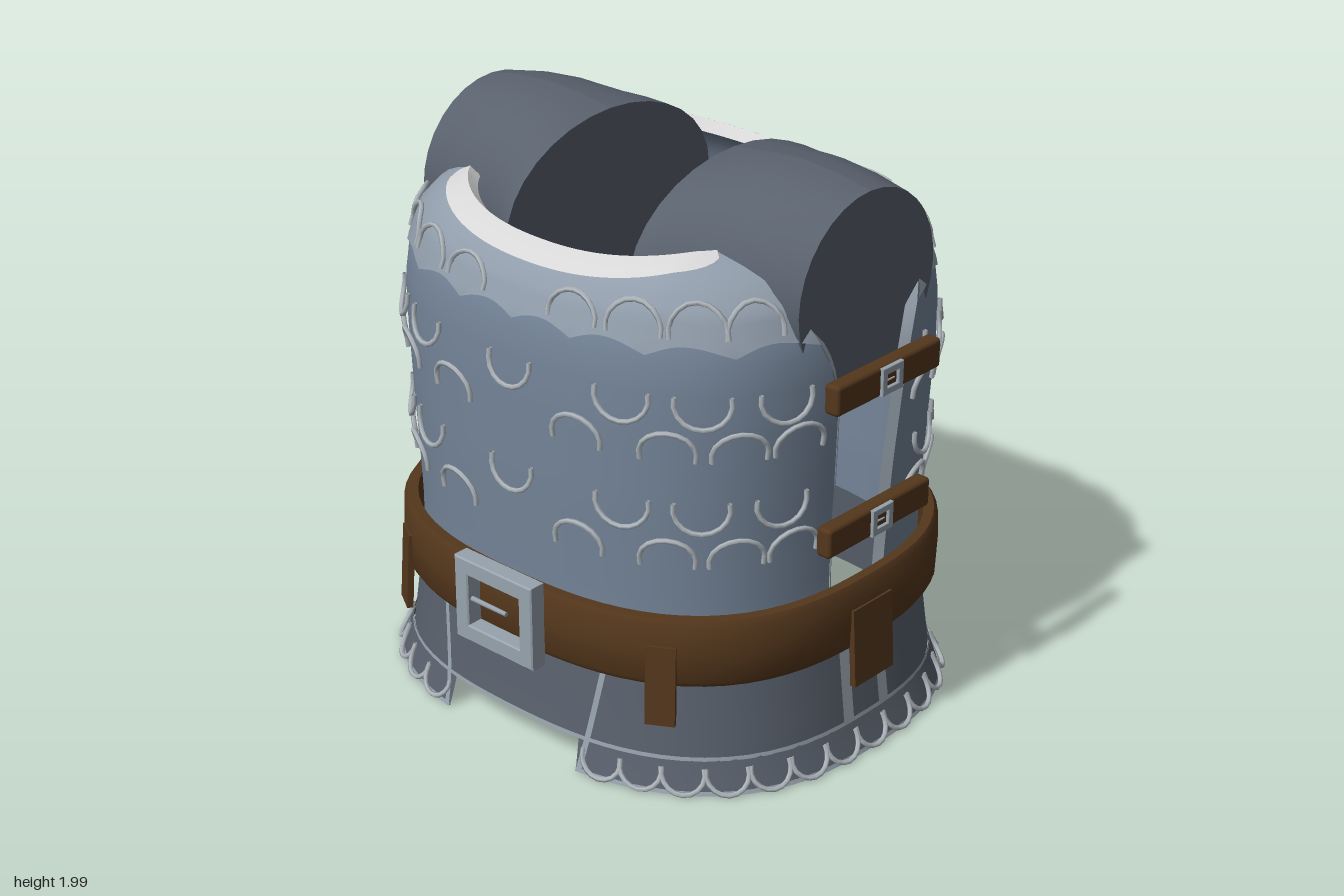
import * as THREE from 'three';
import { toCreasedNormals } from 'three/addons/utils/BufferGeometryUtils.js';
import { RoundedBoxGeometry } from 'three/addons/geometries/RoundedBoxGeometry.js';

const mat = (name, color) => {
  const m = new THREE.MeshStandardMaterial({ color, side: THREE.DoubleSide });
  m.name = name;
  return m;
};

// Oval cross-sections: height, half width, half depth, armhole half gap
const BODY = [
  [0.45, 0.83, 0.735, 0.13], [0.64, 0.83, 0.735, 0.14], [0.85, 0.838, 0.742, 0.147],
  [1.0, 0.848, 0.747, 0.15], [1.3, 0.87, 0.75, 0.165], [1.45, 0.872, 0.745, 0.2],
  [1.55, 0.862, 0.73, 0.25], [1.66, 0.825, 0.695, 0.3], [1.73, 0.755, 0.655, 0.335],
  [1.765, 0.69, 0.62, 0.355], [1.79, 0.62, 0.58, 0.37],
];
const SKIRT = [
  [0.01, 0.925, 0.80, 0], [0.12, 0.885, 0.772, 0], [0.25, 0.868, 0.757, 0], [0.5, 0.835, 0.735, 0],
];
const BELT = [[0.4, 0.89, 0.80, 0], [0.64, 0.89, 0.80, 0]];
const POWER = 2.6, CZ = -0.03;

function section(rows, y) {
  let i = 0;
  while (i < rows.length - 2 && y > rows[i + 1][0]) i++;
  const k = (y - rows[i][0]) / (rows[i + 1][0] - rows[i][0]);
  return rows[i].map((v, j) => v + (rows[i + 1][j] - v) * k);
}

// Point on an oval shell at a height and polar angle, pushed out by off
function shell(rows, y, th, off = 0) {
  const [, a, b] = section(rows, y);
  const c = Math.cos(th), s = Math.sin(th);
  const r = Math.pow(Math.abs(c / (a + off)) ** POWER + Math.abs(s / (b + off)) ** POWER, -1 / POWER);
  const p = new THREE.Vector3(r * c, y, r * s + CZ);
  if (rows === BODY && y > 1.55) {
    const k = (y - 1.55) / 0.24;
    p.y += off * k - 0.05 * k * Math.max(0, 1 - (p.x / 0.5) ** 2); // neckline dip
  }
  return p;
}

// Polar angle at which the armhole cuts the body
function armAngle(y) {
  const [, a, b, z] = section(BODY, y);
  return Math.atan2(z, a * Math.pow(1 - (z / b) ** POWER, 1 / POWER));
}

// Surface from a rule fn(u, v) -> Vector3
function grid(nu, nv, fn) {
  const pos = [], idx = [];
  for (let j = 0; j <= nv; j++) for (let i = 0; i <= nu; i++) pos.push(...fn(i / nu, j / nv).toArray());
  for (let j = 0; j < nv; j++) for (let i = 0; i < nu; i++) {
    const a = j * (nu + 1) + i, b = a + nu + 1;
    idx.push(a, b, a + 1, a + 1, b, b + 1);
  }
  const g = new THREE.BufferGeometry();
  g.setAttribute('position', new THREE.Float32BufferAttribute(pos, 3));
  g.setIndex(idx);
  g.computeVertexNormals();
  return g;
}

export function createModel() {
  const root = new THREE.Group();
  root.name = 'armour';
  const plate = mat('blue steel', 0x748498), dark = mat('dark cloth', 0x59616d);
  const yokeMat = mat('pale steel', 0x919dab), rimMat = mat('light rim', 0xd6d6d6);
  const trim = mat('trim grey', 0x98a3ae), scaleMat = mat('scale edge', 0xb0b8be);
  const leather = mat('brown leather', 0x54371c);
  const add = (name, geo, material, parent = root) => {
    const m = new THREE.Mesh(geo, material);
    m.name = name;
    parent.add(m);
    return m;
  };
  const lerp = THREE.MathUtils.lerp, rad = THREE.MathUtils.degToRad;

  // Front and back plates with yoke, neck rim and armhole edges
  for (const sz of [1, -1]) {
    const side = sz > 0 ? 'front' : 'back';
    const onBody = (u, y, off) => {
      const t = armAngle(y);
      return shell(BODY, y, sz * lerp(t, Math.PI - t, u), off);
    };
    add(side + 'Plate', grid(56, 28, (u, v) => onBody(u, lerp(0.45, 1.79, v), 0)), plate);
    add(side + 'PlateLining', grid(56, 28, (u, v) => onBody(u, lerp(0.45, 1.78, v), -0.02)), plate);
    add(side + 'Yoke', grid(104, 10, (u, v) =>
      onBody(u, lerp(1.535 + 0.035 * Math.abs(Math.sin(u * Math.PI * 8)), 1.79, v), 0.007)), yokeMat);
    add(side + 'NeckRim', grid(40, 5, (u, v) =>
      onBody(u, 1.792 - 0.06 * (1 - v) * Math.sin(Math.PI * u) ** 0.6, 0.014)), rimMat);
    add(side + 'NeckLip', grid(40, 1, (u, v) => onBody(u, 1.79, lerp(0.014, -0.02, v))), rimMat);
    for (const u of [0, 1])
      add(side + 'ArmholeEdge', grid(1, 24, (w, v) => {
        const p = onBody(u, lerp(0.55, 1.78, v), 0.004 - 0.022 * w);
        p.z -= sz * w * 0.028;
        return p;
      }), trim);
  }

  // Shoulder rolls: oval sections along x
  const ROLL = [[0.27, 0.495, 0.33], [0.35, 0.465, 0.342], [0.43, 0.415, 0.352],
    [0.55, 0.39, 0.36], [0.7, 0.36, 0.35], [0.83, 0.335, 0.325]];
  for (const sx of [1, -1]) {
    const ring = (i, ang, k) => new THREE.Vector3(sx * ROLL[i][0],
      1.64 + k * ROLL[i][2] * Math.cos(ang), CZ - 0.005 + k * ROLL[i][1] * Math.sin(ang));
    add('shoulderRoll', grid(32, 5, (u, v) => ring(Math.round(v * 5), u * Math.PI * 2, 1)), dark);
    for (const i of [0, 5])
      add('shoulderRollEnd', grid(32, 1, (u, v) => ring(i, u * Math.PI * 2, v)), dark);
  }

  // Skirt, with hanging panels that leave a gap at front and back
  const TAU = Math.PI * 2;
  add('skirt', grid(80, 4, (u, v) => shell(SKIRT, lerp(0.12, 0.5, v), u * TAU)), dark);
  add('skirtHem', grid(80, 1, (u, v) => shell(SKIRT, lerp(0.118, 0.132, v), u * TAU, 0.006)), trim);
  const gap = Math.atan2(0.79, 0.3);
  for (const c of [0, Math.PI]) {
    add('skirtPanel', grid(48, 3, (u, v) => shell(SKIRT, lerp(0.01, 0.13, v), c + lerp(-gap, gap, u), 0.004)), dark);
    add('panelHem', grid(48, 1, (u, v) => shell(SKIRT, lerp(0.01, 0.024, v), c + lerp(-gap, gap, u), 0.009)), trim);
    for (const s of [1, -1]) {
      add('frontSeam', grid(1, 6, (u, v) =>
        shell(SKIRT, lerp(0.01, 0.45, v), c + s * (gap - 0.025 * u - 0.11 * v), 0.009)), trim);
      add('sideSeam', grid(1, 4, (u, v) =>
        shell(SKIRT, lerp(0.12, 0.45, v), c + s * lerp(0.075, 0.13, u), 0.007)), trim);
    }
  }

  // Curved scale edges: arcs laid on a shell, dir 1 arches up, -1 hangs down
  const scales = new THREE.Group();
  scales.name = 'scales';
  root.add(scales);
  function scale(rows, y, th, r, dir, lift) {
    const R = Math.hypot(shell(rows, y, th).x, shell(rows, y, th).z - CZ);
    const pts = [];
    for (let i = 0; i <= 8; i++) {
      const a = rad(lerp(-105, 105, i / 8));
      const dy = dir * r * Math.cos(a) * 0.9;
      pts.push(shell(rows, Math.max(0.012, y + dy), th + r * Math.sin(a) / R, lift + 0.012 * Math.max(0, Math.cos(a))));
    }
    add('scale', new THREE.TubeGeometry(new THREE.CatmullRomCurve3(pts), 10, 0.009, 5), scaleMat, scales);
  }
  const UP = [69.7, 48.3, 33.6, 20.6], DOWN = [90, 58.4, 41.2, 24];
  const ROWS = [[1.61, [72, 56, 42, 30], 1], [1.39, DOWN, -1], [1.21, UP, 1], [1.02, DOWN, -1], [0.83, UP, 1]];
  for (const [y, angles, dir] of ROWS) for (const d of angles) for (const sz of [1, -1])
    for (const t of d === 90 ? [90] : [d, 180 - d]) scale(BODY, y, sz * rad(t), 0.09, dir, 0.008);
  for (const c of [0, 180]) for (let d = -63; d <= 63; d += 9) scale(SKIRT, 0.08, rad(c + d), 0.07, -1, 0.008);

  // Waist belt
  const BAND = [[-0.045, 0.4], [-0.012, 0.4], [0, 0.42], [0.004, 0.52], [0, 0.62], [-0.012, 0.64], [-0.045, 0.64]];
  add('belt', toCreasedNormals(grid(80, 6, (u, v) => {
    const [off, y] = BAND[Math.round(v * 6)];
    return shell(BELT, y, u * TAU, off);
  }), 0.6), leather);

  // Hanging belt tabs
  const tab = (th, width) => {
    const p = shell(BELT, 0.41, th, 0.008), q = shell(BELT, 0.41, th + 0.02, 0.008);
    const g = new THREE.Group();
    g.name = 'beltTab';
    g.position.copy(p);
    g.rotation.y = Math.atan2(q.z - p.z, -(q.x - p.x));
    const m = add('tab', new THREE.BoxGeometry(width, 0.28, 0.022), leather, g);
    m.rotation.x = -0.06;
    root.add(g);
  };
  const corner = Math.atan2(0.69, 0.59);
  for (const th of [corner, Math.PI - corner, -corner, corner - Math.PI]) tab(th, 0.1);
  tab(0, 0.2);
  tab(Math.PI, 0.2);

  // Square buckle with a prong, facing +z
  function buckle(name, w, h, bar, depth) {
    const g = new THREE.Group();
    g.name = name;
    const rect = (o, x, y) => o.moveTo(-x, -y).lineTo(x, -y).lineTo(x, y).lineTo(-x, y).closePath();
    const s = rect(new THREE.Shape(), w / 2, h / 2);
    s.holes.push(rect(new THREE.Path(), w / 2 - bar, h / 2 - bar));
    const geo = new THREE.ExtrudeGeometry(s, { depth, bevelEnabled: true, bevelSize: bar * 0.1,
      bevelThickness: bar * 0.1, bevelSegments: 1 });
    add('buckleFrame', geo, trim, g);
    const prong = add('buckleProng', new THREE.CylinderGeometry(bar * 0.16, bar * 0.2, w * 0.6, 8), trim, g);
    prong.rotation.z = -Math.PI / 2;
    prong.position.set(-w * 0.18, 0, depth * 0.7);
    root.add(g);
    return g;
  }
  buckle('beltBuckle', 0.345, 0.295, 0.05, 0.055).position.set(0, 0.52, 0.768);

  // Side straps with small buckles
  for (const sx of [1, -1]) for (const [x, y, z] of [[0.932, 1.385, 0], [0.898, 0.868, -0.02]]) {
    add('sideStrap', new RoundedBoxGeometry(0.058, 0.104, 0.52, 2, 0.014), leather).position.set(sx * x, y, z);
    const b = buckle('strapBuckle', 0.1, 0.09, 0.02, 0.016);
    b.position.set(sx * (x + 0.022), y, z);
    b.rotation.y = sx * Math.PI / 2;
  }
  return root;
}
